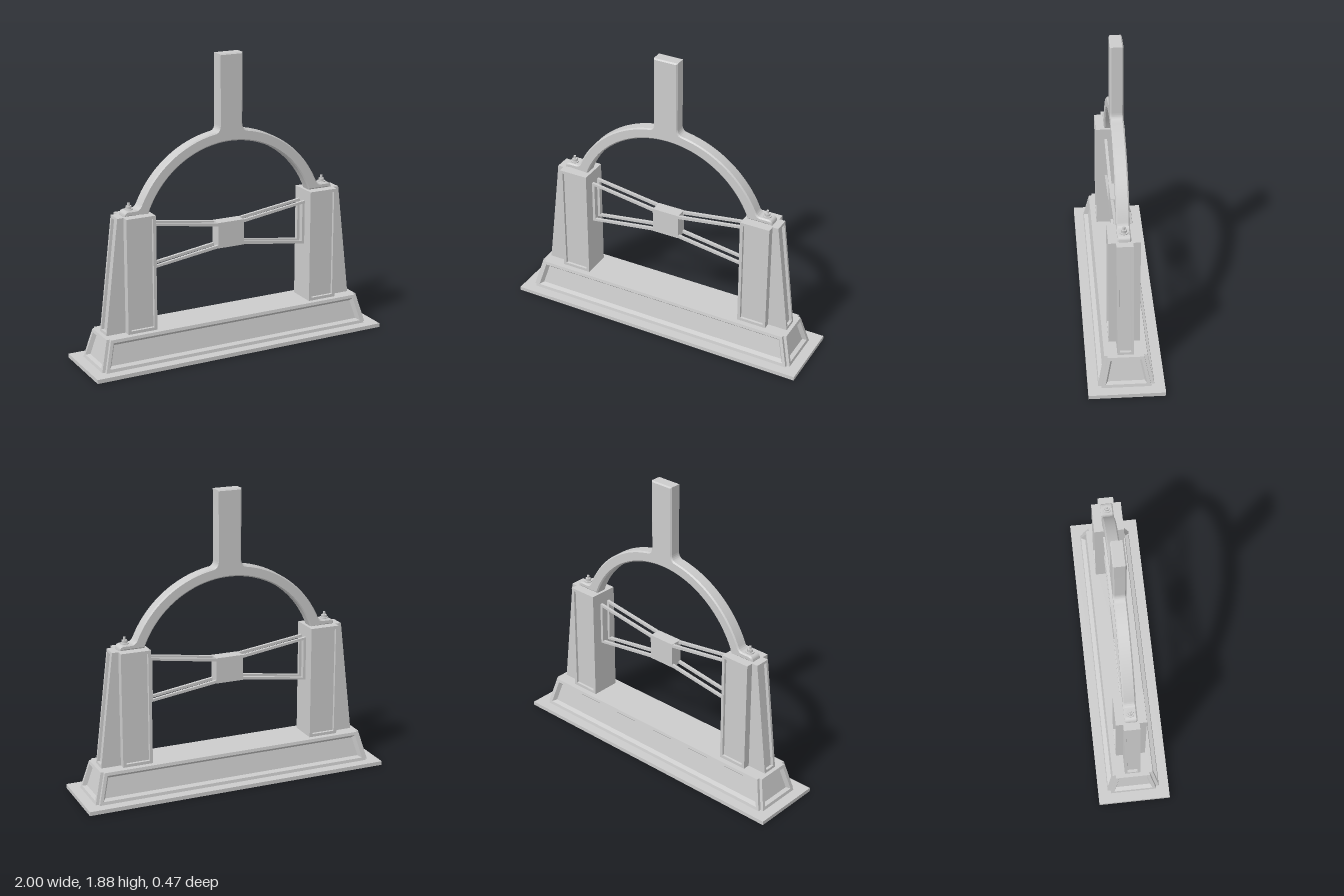
import * as THREE from 'three';
import { toCreasedNormals } from 'three/addons/utils/BufferGeometryUtils.js';

const material = new THREE.MeshStandardMaterial({ color: 0xcccccc, side: THREE.DoubleSide });
const V = (x, y, z) => new THREE.Vector3(x, y, z);

function addMesh(parent, name, geometry, x = 0, y = 0, z = 0) {
  const mesh = new THREE.Mesh(geometry, material);
  mesh.name = name;
  mesh.position.set(x, y, z);
  parent.add(mesh);
  return mesh;
}

// Corners run counter-clockwise seen from outside
function quad(out, a, b, c, d) {
  for (const p of [a, b, c, a, c, d]) out.push(p.x, p.y, p.z);
}

// Four-sided face with a raised frame and a sunken panel
function panel(out, corners, border, depth, chamfer) {
  const [a, b, c, d] = corners;
  const normal = b.clone().sub(a).cross(d.clone().sub(a)).normalize();
  const inset = (m, sink) => {
    const v = m / a.distanceTo(d);
    const point = (s, t) => {
      const l = a.clone().lerp(d, t), r = b.clone().lerp(c, t);
      return l.clone().lerp(r, s > 0 ? 1 - m / l.distanceTo(r) : m / l.distanceTo(r)).addScaledVector(normal, -sink);
    };
    return [point(0, v), point(1, v), point(1, 1 - v), point(0, 1 - v)];
  };
  const rim = inset(border, 0), floor = inset(border + chamfer, depth);
  for (let i = 0; i < 4; i++) {
    const j = (i + 1) % 4;
    quad(out, corners[i], corners[j], rim[j], rim[i]);
    quad(out, rim[i], rim[j], floor[j], floor[i]);
  }
  quad(out, ...floor);
}

function fromPositions(out) {
  const g = new THREE.BufferGeometry();
  g.setAttribute('position', new THREE.Float32BufferAttribute(out, 3));
  g.computeVertexNormals();
  return g;
}

// Hollow tapered plinth with notched corners
function plinthGeometry() {
  const out = [], y0 = 0.025, y1 = 0.215, n = 0.02;
  const X0 = 0.935, X1 = 0.885, Z0 = 0.17, Z1 = 0.13;
  for (const s of [1, -1]) {
    panel(out, [V(-s * (X0 - n), y0, s * Z0), V(s * (X0 - n), y0, s * Z0),
      V(s * (X1 - n), y1, s * Z1), V(-s * (X1 - n), y1, s * Z1)], 0.02, 0.025, 0.016);
    panel(out, [V(s * X0, y0, s * (Z0 - n)), V(s * X0, y0, -s * (Z0 - n)),
      V(s * X1, y1, -s * (Z1 - n)), V(s * X1, y1, s * (Z1 - n))], 0.02, 0.025, 0.012);
    // Corner notch walls
    for (const t of [1, -1]) {
      const p = (x, z, top) => V(s * ((top ? X1 : X0) - x), top ? y1 : y0, t * ((top ? Z1 : Z0) - z));
      const walls = [[[n, 0], [n, n]], [[n, n], [0, n]]];
      for (const [q, r] of walls) {
        const c = [p(...q, false), p(...r, false), p(...r, true), p(...q, true)];
        quad(out, ...(s * t > 0 ? c : c.reverse()));
      }
    }
  }
  // Top, split around the notches
  const top = (xa, xb, z) => quad(out, V(xa, y1, z), V(xb, y1, z), V(xb, y1, -z), V(xa, y1, -z));
  top(-X1 + n, X1 - n, Z1);
  top(X1 - n, X1, Z1 - n);
  top(-X1, -X1 + n, Z1 - n);
  return fromPositions(out);
}

// Upright block between xa and xb with framed front and back
function pillarGeometry() {
  const out = [], y0 = 0.215, y1 = 0.945, xa = 0.54, xb = 0.733, z = 0.095;
  panel(out, [V(xa, y0, z), V(xb, y0, z), V(xb, y1, z), V(xa, y1, z)], 0.019, 0.014, 0.002);
  panel(out, [V(xb, y0, -z), V(xa, y0, -z), V(xa, y1, -z), V(xb, y1, -z)], 0.019, 0.014, 0.002);
  quad(out, V(xa, y0, -z), V(xa, y0, z), V(xa, y1, z), V(xa, y1, -z));
  quad(out, V(xb, y0, z), V(xb, y0, -z), V(xb, y1, -z), V(xb, y1, z));
  quad(out, V(xa, y1, z), V(xb, y1, z), V(xb, y1, -z), V(xa, y1, -z));
  return fromPositions(out);
}

// Sloping fin on the outside of a pillar
function buttressGeometry() {
  const out = [], y0 = 0.215, y1 = 0.945, xa = 0.73, x0 = 0.86, x1 = 0.772, z = 0.05;
  panel(out, [V(x0, y0, z), V(x0, y0, -z), V(x1, y1, -z), V(x1, y1, z)], 0.016, 0.018, 0.002);
  quad(out, V(xa, y0, z), V(x0, y0, z), V(x1, y1, z), V(xa, y1, z));
  quad(out, V(x0, y0, -z), V(xa, y0, -z), V(xa, y1, -z), V(x1, y1, -z));
  quad(out, V(xa, y1, z), V(x1, y1, z), V(x1, y1, -z), V(xa, y1, -z));
  return fromPositions(out);
}

// Arch, feet and stem as one bevelled outline
function archGeometry() {
  const cy = 0.73, R = 0.67, a0 = 0.415, a1 = 1.406, inner = 0.3665, bevel = 0.008;
  const s = new THREE.Shape();
  s.moveTo(0.725, 0.945);
  s.quadraticCurveTo(0.725, 0.978, 0.69, 0.978);
  s.lineTo(0.645, 0.978);
  s.quadraticCurveTo(0.625, 0.978, R * Math.cos(a0), cy + R * Math.sin(a0));
  s.absarc(0, cy, R, a0, a1, false);
  s.quadraticCurveTo(0.08, 1.398, 0.08, 1.435);
  s.lineTo(0.08, 1.875);
  s.lineTo(-0.08, 1.875);
  s.lineTo(-0.08, 1.435);
  s.quadraticCurveTo(-0.08, 1.398, -R * Math.cos(a1), cy + R * Math.sin(a1));
  s.absarc(0, cy, R, Math.PI - a1, Math.PI - a0, false);
  s.quadraticCurveTo(-0.625, 0.978, -0.645, 0.978);
  s.lineTo(-0.69, 0.978);
  s.quadraticCurveTo(-0.725, 0.978, -0.725, 0.945);
  s.lineTo(-0.56, 0.945);
  s.absarc(0, cy, 0.6, Math.PI - inner, inner, true);
  const g = new THREE.ExtrudeGeometry(s, { depth: 0.08 - 2 * bevel, curveSegments: 24,
    bevelSize: bevel, bevelThickness: bevel, bevelOffset: -bevel, bevelSegments: 1 });
  g.translate(0, 0, -0.04 + bevel);
  return toCreasedNormals(g, 0.4);
}

// One open bow-tie wing, from the centre block out to a pillar
function wingGeometry() {
  const s = new THREE.Shape([[0.085, 0.655], [0.53, 0.592], [0.53, 0.878], [0.085, 0.815]].map(p => new THREE.Vector2(...p)));
  s.holes.push(new THREE.Path([[0.09, 0.673], [0.09, 0.797], [0.513, 0.86], [0.513, 0.61]].map(p => new THREE.Vector2(...p))));
  return new THREE.ExtrudeGeometry(s, { depth: 0.018, bevelEnabled: false });
}

export function createModel() {
  const model = new THREE.Group();
  model.name = 'archedStand';

  // Flat flange, open in the middle
  const rect = (Type, x, z) => new Type([[-x, -z], [x, -z], [x, z], [-x, z]].map(p => new THREE.Vector2(...p)));
  const flange = rect(THREE.Shape, 1, 0.233);
  flange.holes.push(rect(THREE.Path, 0.9, 0.138));
  const flangeGeometry = new THREE.ExtrudeGeometry(flange, { depth: 0.025, bevelEnabled: false });
  flangeGeometry.rotateX(-Math.PI / 2);
  addMesh(model, 'baseFlange', flangeGeometry);
  addMesh(model, 'plinth', plinthGeometry());

  // Each side is turned half way round for its mirror
  const pillar = pillarGeometry(), buttress = buttressGeometry(), wing = wingGeometry();
  for (const [side, angle] of [['left', 0], ['right', Math.PI]]) {
    const group = new THREE.Group();
    group.name = side + 'Support';
    group.rotation.y = angle;
    addMesh(group, 'pillar', pillar);
    addMesh(group, 'buttress', buttress);
    addMesh(group, 'frontWing', wing, 0, 0, 0.022);
    addMesh(group, 'backWing', wing, 0, 0, -0.04);
    // Washer, nut and stud on the arch foot
    addMesh(group, 'washer', new THREE.CylinderGeometry(0.026, 0.026, 0.006, 20), 0.675, 0.981, 0);
    addMesh(group, 'nut', new THREE.CylinderGeometry(0.018, 0.018, 0.018, 6), 0.675, 0.992, 0);
    addMesh(group, 'stud', new THREE.CylinderGeometry(0.008, 0.008, 0.04, 12), 0.675, 1.0, 0);
    model.add(group);
  }

  addMesh(model, 'centreBlock', new THREE.BoxGeometry(0.18, 0.165, 0.08), 0, 0.735, 0);
  addMesh(model, 'archAndStem', archGeometry());
  return model;
}
